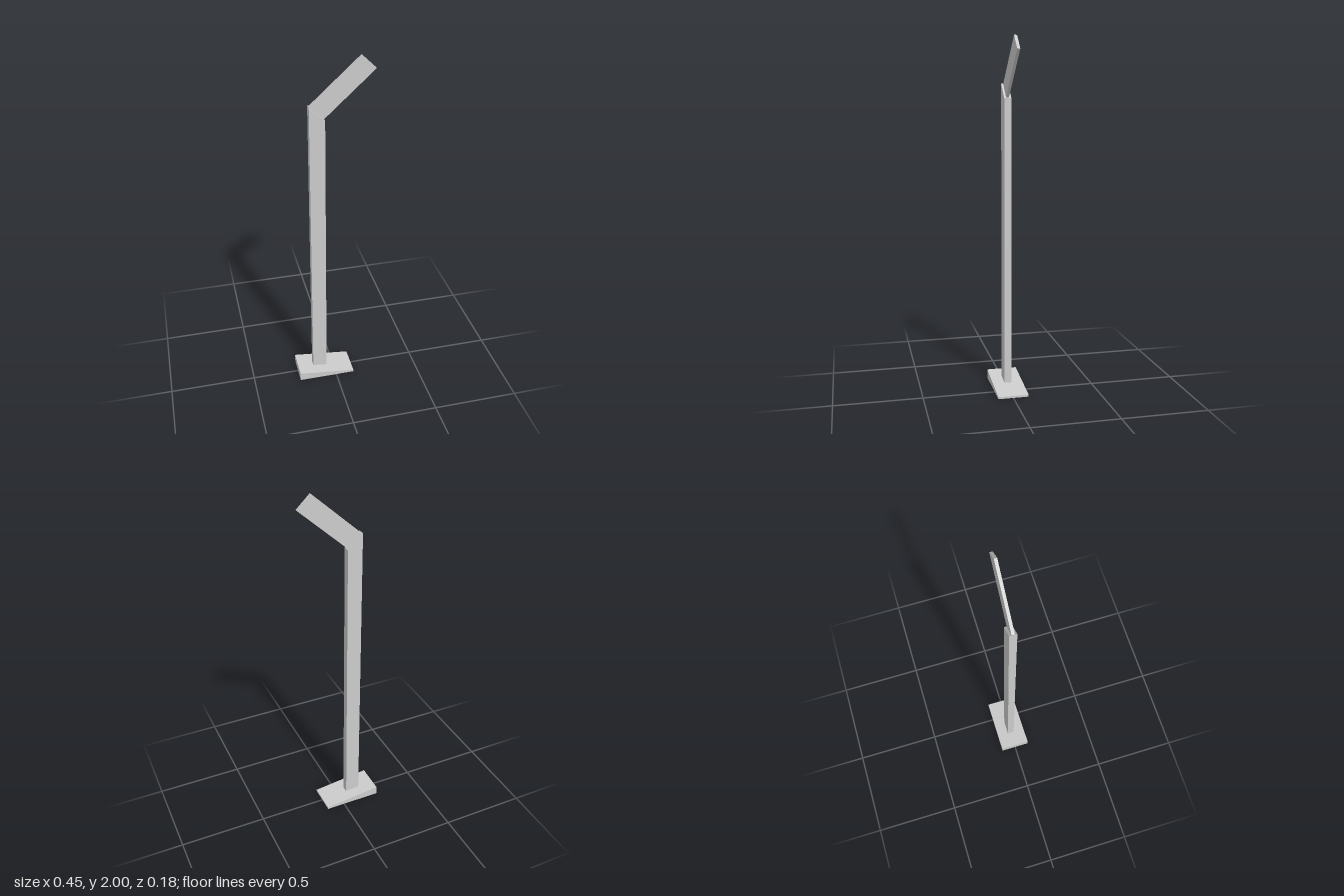
import * as THREE from 'three';

const material = new THREE.MeshStandardMaterial({ color: 0xcccccc, flatShading: true });

// Flat slab: a side profile in x/y, extruded from zBack to zFront
function slab(name, profile, zBack, zFront) {
  const shape = new THREE.Shape(profile.map(([x, y]) => new THREE.Vector2(x, y)));
  const geometry = new THREE.ExtrudeGeometry(shape, { depth: zFront - zBack, bevelEnabled: false });
  geometry.translate(0, 0, zBack);
  const mesh = new THREE.Mesh(geometry, material);
  mesh.name = name;
  return mesh;
}

export function createModel() {
  const group = new THREE.Group();
  group.name = 'angledPost';

  // Wedge-shaped foot, thin towards +x
  group.add(slab('base', [[-0.225, 0], [0.109, 0], [0.109, 0.012], [-0.225, 0.052]], -0.089, 0.087));

  // Upright with a mitred top, standing on the sloped foot
  group.add(slab('post', [[-0.13, 0.041], [-0.046, 0.031], [-0.046, 1.675], [-0.13, 1.755]], -0.022, 0.018));

  // Thin arm rising from the mitre
  group.add(slab('arm', [[-0.127, 1.752], [-0.05, 1.679], [0.222, 1.927], [0.146, 2]], -0.009, 0.007));

  return group;
}
